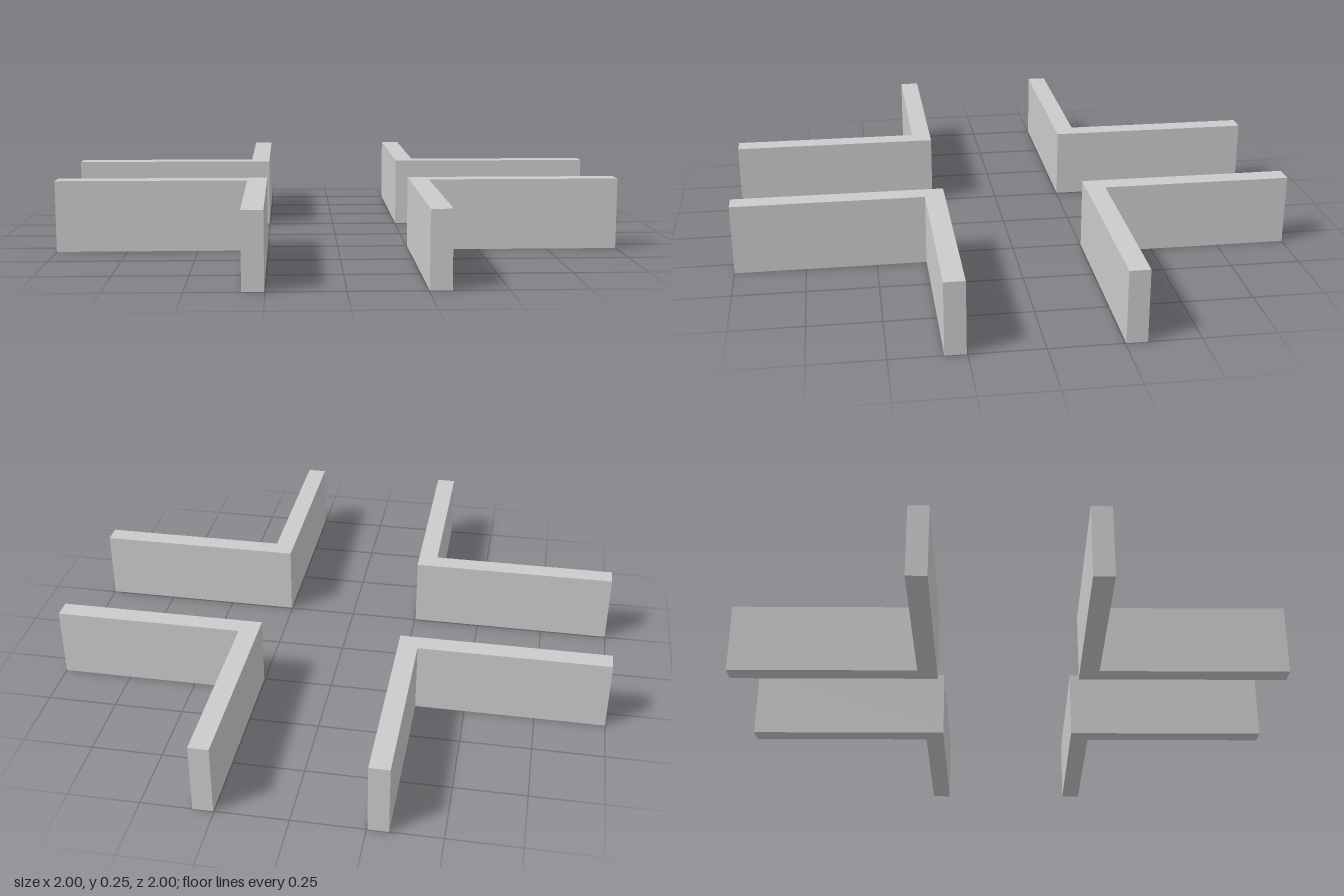
import * as THREE from 'three';

const INNER = 0.253;  // inner faces of the corner
const OUTER = 0.323;  // outer faces of the corner
const END = 1;        // ends of the arms
const HEIGHT = 0.253;

export function createModel() {
  const group = new THREE.Group();
  group.name = 'crossroadWalls';
  const material = new THREE.MeshStandardMaterial({ color: 0xcccccc, flatShading: true });

  // L-shaped plan of one corner wall, extruded upwards
  const plan = new THREE.Shape([
    [INNER, INNER], [END, INNER], [END, OUTER],
    [OUTER, OUTER], [OUTER, END], [INNER, END],
  ].map(([x, y]) => new THREE.Vector2(x, y)));
  const geometry = new THREE.ExtrudeGeometry(plan, { depth: HEIGHT, bevelEnabled: false });
  geometry.rotateX(-Math.PI / 2);

  // one wall per quadrant, turned about the centre
  ['backLeft', 'backRight', 'frontRight', 'frontLeft'].forEach((corner, i) => {
    const wall = new THREE.Mesh(geometry, material);
    wall.name = `${corner}CornerWall`;
    wall.rotation.y = i * Math.PI / 2;
    group.add(wall);
  });
  return group;
}
